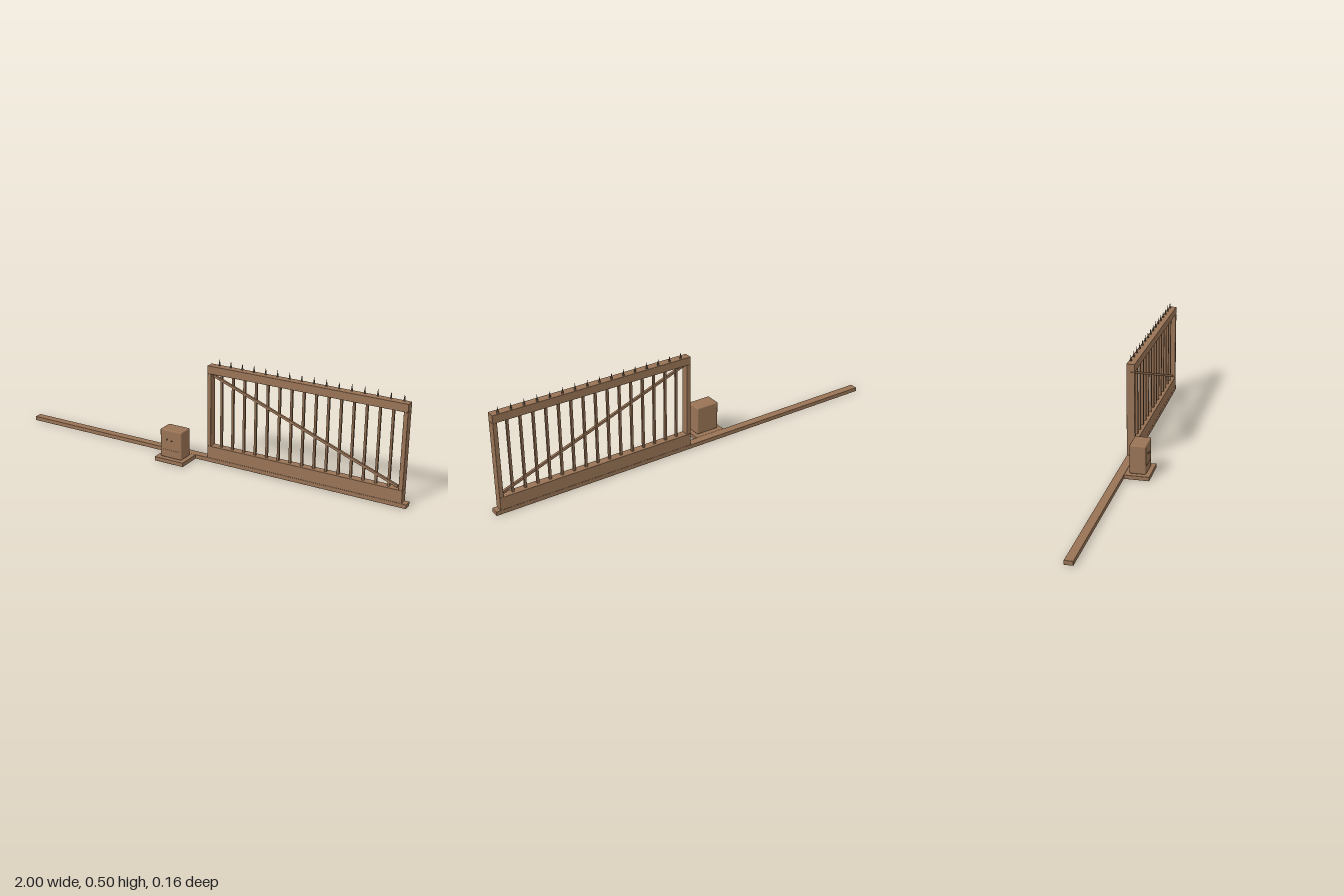
import * as THREE from 'three';
import { RoundedBoxGeometry } from 'three/addons/geometries/RoundedBoxGeometry.js';

const brown = new THREE.MeshStandardMaterial({ color: 0x997456 });
const barBrown = new THREE.MeshStandardMaterial({ color: 0x8c6a4e });
const spikeGrey = new THREE.MeshStandardMaterial({ color: 0x6a5a4b });
brown.name = 'brown';
barBrown.name = 'bar brown';
spikeGrey.name = 'spike grey';

export function createModel() {
  const model = new THREE.Group();
  model.name = 'slidingGate';

  function add(name, geometry, material, x, y, z, parent) {
    const mesh = new THREE.Mesh(geometry, material);
    mesh.name = name;
    mesh.position.set(x, y, z);
    parent.add(mesh);
    return mesh;
  }

  // Softly edged box given by its low and high limits on each axis
  function box(name, [x0, x1], [y0, y1], [z0, z1], parent, radius = 0.0015) {
    const geometry = new RoundedBoxGeometry(x1 - x0, y1 - y0, z1 - z0, 2, radius);
    return add(name, geometry, brown, (x0 + x1) / 2, (y0 + y1) / 2, (z0 + z1) / 2, parent);
  }

  // Ground track
  const depth = [-0.078, -0.039];
  box('track', [-1, 1], [0, 0.02], depth, model);

  // Gate frame
  const gate = new THREE.Group();
  gate.name = 'gate';
  model.add(gate);
  box('bottomPanel', [0.02, 0.979], [0.02, 0.08], depth, gate);
  box('topRail', [0.02, 0.979], [0.433, 0.471], depth, gate);
  box('rightPost', [0.02, 0.039], [0.08, 0.433], depth, gate);
  box('leftPost', [0.96, 0.979], [0.08, 0.433], depth, gate);

  // Upright bars
  const step = 0.0588;
  const barGeometry = new THREE.BoxGeometry(0.0105, 0.353, 0.0105);
  for (let i = 0; i < 15; i++) {
    add('bar', barGeometry, barBrown, 0.086 + i * step, 0.2565, -0.0585, gate);
  }

  // Diagonal brace
  const start = new THREE.Vector2(0.045, 0.425);
  const end = new THREE.Vector2(0.952, 0.09);
  const run = end.clone().sub(start);
  const brace = add('brace', new THREE.BoxGeometry(run.length(), 0.011, 0.011), brown,
    (start.x + end.x) / 2, (start.y + end.y) / 2, -0.054, gate);
  brace.rotation.z = run.angle();

  // Spikes along the top rail
  const spikeGeometry = new THREE.ConeGeometry(0.005, 0.032, 8);
  for (let i = 0; i < 16; i++) {
    add('spike', spikeGeometry, spikeGrey, 0.067 + i * step, 0.487, -0.068, gate);
  }

  // Motor housing on its plinth
  const motor = new THREE.Group();
  motor.name = 'motor';
  model.add(motor);
  box('plinth', [-0.196, -0.042], [0, 0.02], [-0.039, 0.078], motor, 0.002);
  box('housing', [-0.176, -0.061], [0.02, 0.158], [-0.019, 0.058], motor, 0.006);
  box('lowerCover', [-0.166, -0.071], [0.024, 0.06], [0.057, 0.059], motor, 0.0005);

  // Two small buttons on the front
  const buttonGeometry = new THREE.CylinderGeometry(0.003, 0.003, 0.007, 12);
  for (const [x, y] of [[-0.138, 0.112], [-0.112, 0.108]]) {
    const button = add('button', buttonGeometry, brown, x, y, 0.061, motor);
    button.rotation.x = Math.PI / 2;
  }

  return model;
}
